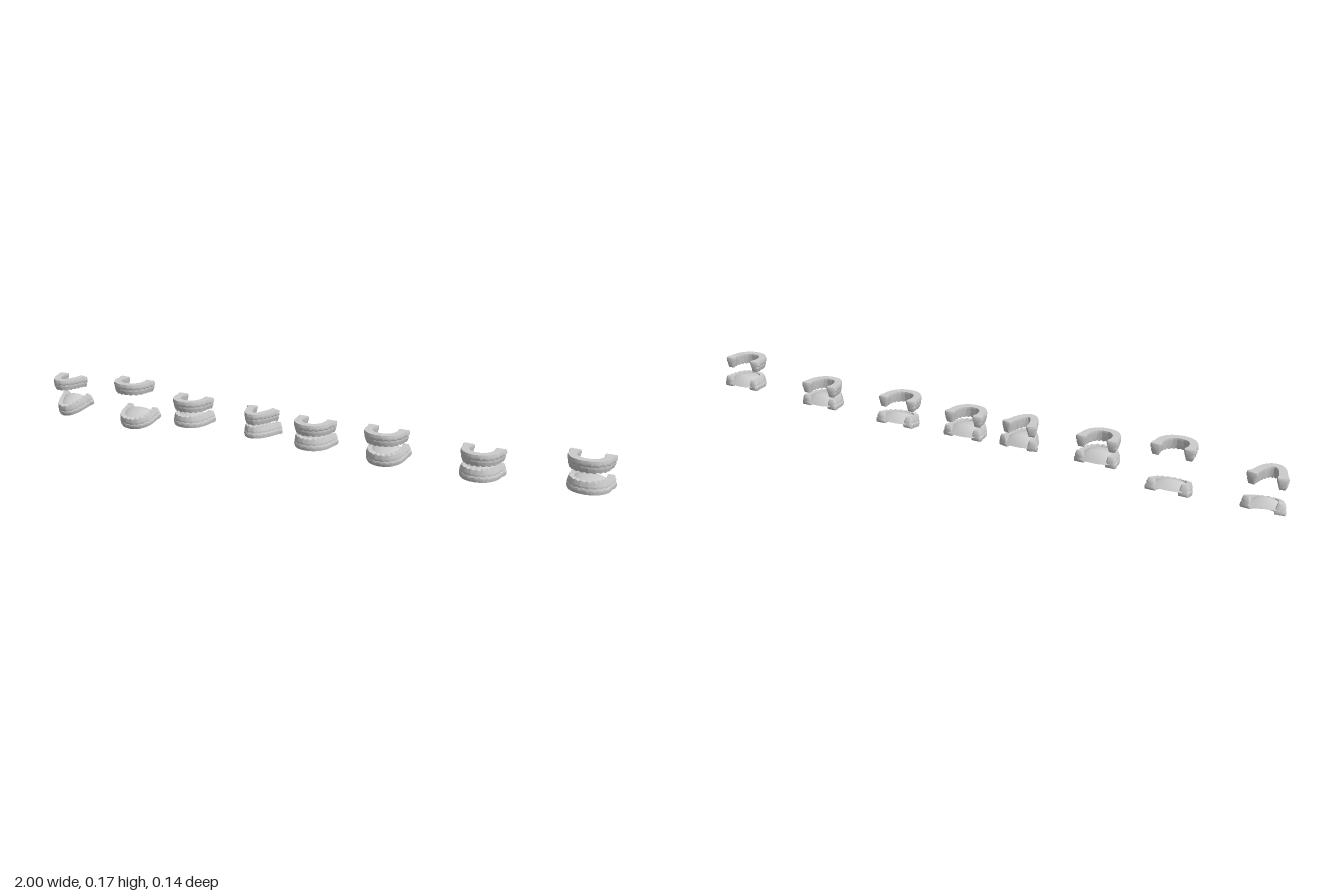
import * as THREE from 'three';
import { toCreasedNormals } from 'three/addons/utils/BufferGeometryUtils.js';

const material = new THREE.MeshStandardMaterial({ color: 0xcccccc });
const sheet = new THREE.MeshStandardMaterial({ color: 0xcccccc, side: THREE.DoubleSide });
const { lerp, smoothstep, degToRad } = THREE.MathUtils;
const TEETH = 14, STEPS = TEETH * 8;

// Plan line of a dental arch, from the left back end round the front;
// taper blends a round U into a pointed V.
function archCurve(halfWidth, backZ, taper) {
  const round = [1, 1.01, 0.92, 0.55], pointed = [1, 0.8, 0.56, 0.28];
  const depth = [backZ, -0.02, 0.01, 0.032];
  const half = depth.map((z, i) =>
    new THREE.Vector3(halfWidth * lerp(round[i], pointed[i], taper), 0, z));
  const mirrored = half.map(p => new THREE.Vector3(-p.x, 0, p.z)).reverse();
  return new THREE.CatmullRomCurve3([...half, new THREE.Vector3(0, 0, 0.039), ...mirrored]);
}

// Cross-section [outward offset, height] of gum and tooth row; teeth point down.
// The back ends swell into a pad and are rounded off.
function section(u) {
  const scallop = Math.abs(Math.sin(Math.PI * TEETH * u));
  const wave = 0.003 * scallop;
  const along = Math.abs(2 * u - 1);
  const round = 1 - 0.3 * smoothstep(along, 0.96, 1) ** 2;
  const flare = (1 + 0.3 * smoothstep(along, 0.8, 0.88)) * round;
  return [
    [-0.007, -0.016 - wave], [0.007, -0.016 - wave], [0.0105 + wave * 0.4, -0.005],
    [0.0105, -0.001 + wave], [0.013, 0.002 + wave], [0.0135, 0.012], [0.012, 0.018],
    [-0.012, 0.018], [-0.0135, 0.01], [-0.011, 0],
  ].map(([o, y]) => [o * flare, y * round]);
}

// Sweep the section along the arch; flip turns the teeth upwards.
function archGeometry(curve, flip) {
  const pos = [], index = [], count = section(0).length;
  for (let i = 0; i <= STEPS; i++) {
    const u = i / STEPS, p = curve.getPointAt(u), t = curve.getTangentAt(u);
    let ring = section(u);
    if (flip) ring = ring.map(([o, y]) => [o, -y]).reverse();
    for (const [o, y] of ring) pos.push(p.x + t.z * o, y, p.z - t.x * o);
  }
  for (let i = 0; i < STEPS; i++) {
    for (let j = 0; j < count; j++) {
      const a = i * count + j, b = i * count + (j + 1) % count;
      index.push(a, b, a + count, b, b + count, a + count);
    }
  }
  // Flat end caps
  const last = STEPS * count;
  for (let j = 1; j < count - 1; j++) {
    index.push(0, j + 1, j, last, last + j, last + j + 1);
  }
  const geometry = new THREE.BufferGeometry();
  geometry.setAttribute('position', new THREE.Float32BufferAttribute(pos, 3));
  geometry.setIndex(index);
  return toCreasedNormals(geometry, 0.7);
}

// Domed sheet filling the lower arch, curling down behind its back ends.
function tongueGeometry(curve) {
  const geometry = new THREE.PlaneGeometry(2, 1, 16, 32);
  const pos = geometry.attributes.position;
  for (let i = 0; i < pos.count; i++) {
    const s = pos.getX(i), v = pos.getY(i) + 0.5;
    const p = curve.getPointAt(v / 2);
    const back = Math.max(0, 1 - v / 0.35);
    const dome = Math.sqrt(Math.max(0, 1 - s * s)) * (1 - v ** 3);
    const y = 0.004 + 0.02 * dome - (0.01 + 0.022 * dome) * back ** 2;
    pos.setXYZ(i, s * p.x, y, p.z - 0.01 * (1 - s * s) * (1 - v));
  }
  geometry.computeVertexNormals();
  return geometry;
}

function addMesh(parent, name, geometry, mat) {
  const mesh = new THREE.Mesh(geometry, mat);
  mesh.name = name;
  parent.add(mesh);
}

export function createModel() {
  const model = new THREE.Group();
  model.name = 'dentalArchRow';
  // x, upper y, upper z, lower y, lower z, lower tilt in degrees, taper
  const sets = [
    [-0.934, 0.12, -0.002, 0.038, -0.017, 19, 0.75],
    [-0.65, 0.147, 0.005, 0.033, -0.017, 16.5, 0],
    [-0.41, 0.123, 0.008, 0.073, 0.006, 3, 0.1],
    [-0.15, 0.12, 0.008, 0.076, 0.006, 0, 0.85],
    [0.048, 0.115, 0.008, 0.07, 0.006, 2, 0.1],
    [0.294, 0.123, 0.006, 0.064, -0.007, 12, 0],
    [0.607, 0.115, 0.008, 0.07, 0.012, 2, 0.1],
    [0.928, 0.152, 0.007, 0.087, -0.001, 1, 0],
  ];
  sets.forEach(([x, upperY, upperZ, lowerY, lowerZ, tilt, taper], i) => {
    const set = new THREE.Group();
    set.name = `dentalSet${i + 1}`;
    set.position.x = x;

    const upper = new THREE.Group();
    upper.name = 'upperJaw';
    upper.position.set(0, upperY, upperZ);
    const upperCurve = archCurve(0.051 - 0.007 * taper, -0.043, taper);
    addMesh(upper, 'upperArch', archGeometry(upperCurve, false), material);

    const lower = new THREE.Group();
    lower.name = 'lowerJaw';
    lower.position.set(0, lowerY, lowerZ);
    lower.rotation.x = degToRad(tilt);
    const lowerCurve = archCurve(0.051, -0.049, taper);
    addMesh(lower, 'lowerArch', archGeometry(lowerCurve, true), material);
    addMesh(lower, 'tongue', tongueGeometry(lowerCurve), sheet);

    set.add(upper, lower);
    model.add(set);
  });
  return model;
}
